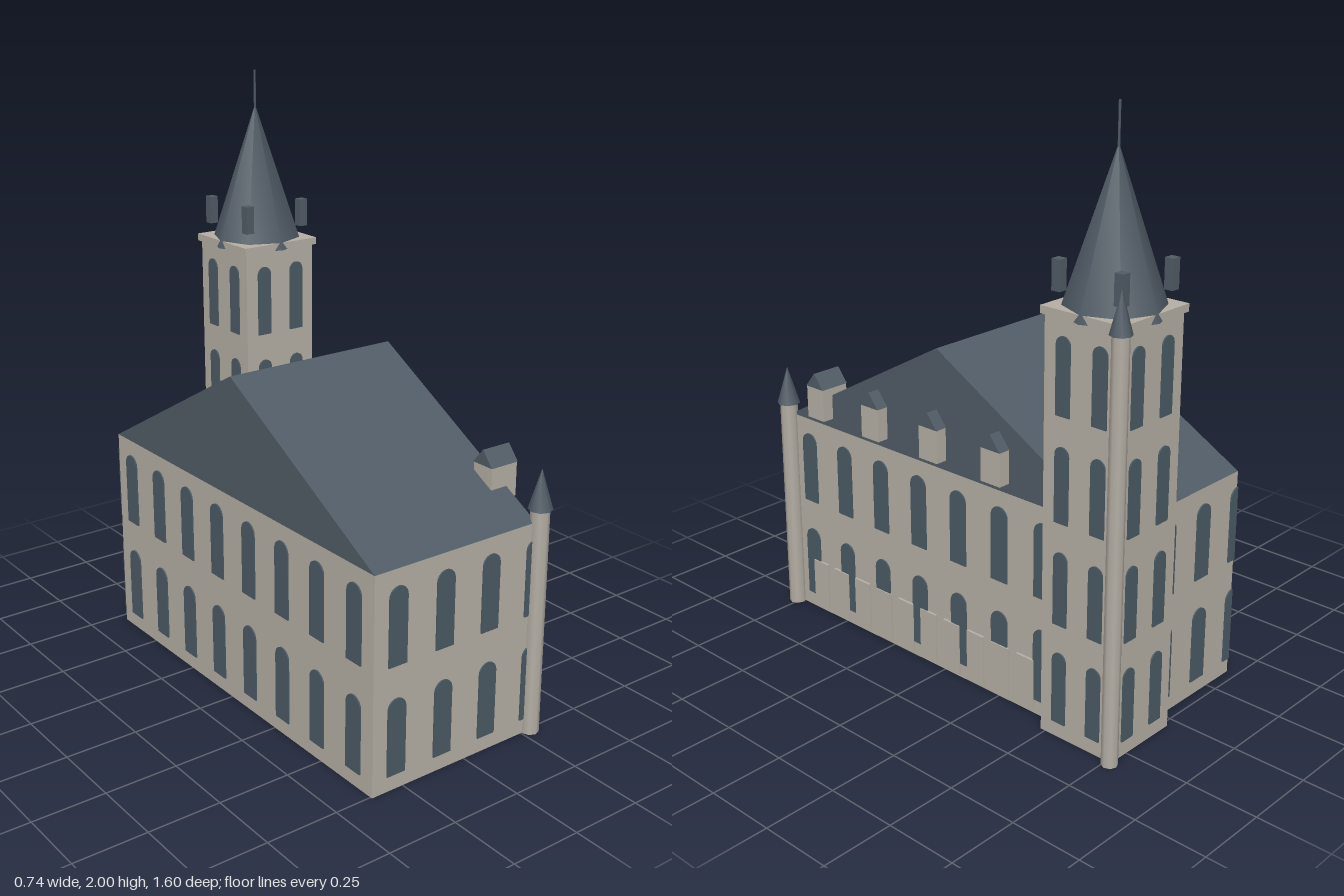
import * as THREE from 'three';

const stone = new THREE.MeshStandardMaterial({ color: 0xb4aea4 }); stone.name = 'stone';
const slate = new THREE.MeshStandardMaterial({ color: 0x505b65 }); slate.name = 'slate';
const glass = new THREE.MeshStandardMaterial({ color: 0x4b5a64 }); glass.name = 'windowGlass';

const BODY = { x0: -0.37, x1: 0.272, z0: -0.713, z1: 0.757, h: 0.74, ridge: 1.15 };
const TOWER = { x: 0.183, z: -0.625, half: 0.143, h: 1.385 };

function add(parent, name, geometry, material, x = 0, y = 0, z = 0) {
  const mesh = new THREE.Mesh(geometry, material);
  mesh.name = name;
  mesh.position.set(x, y, z);
  parent.add(mesh);
  return mesh;
}

// box given by its limits on each axis
function block(parent, name, material, [x0, x1], [y0, y1], [z0, z1]) {
  return add(parent, name, new THREE.BoxGeometry(x1 - x0, y1 - y0, z1 - z0), material,
    (x0 + x1) / 2, (y0 + y1) / 2, (z0 + z1) / 2);
}

// gable prism with its ridge along x
function gable(parent, name, material, [x0, x1], [y0, y1], [z0, z1]) {
  const s = new THREE.Shape();
  s.moveTo(-z1, y0);
  s.lineTo(-z0, y0);
  s.lineTo(-(z0 + z1) / 2, y1);
  s.closePath();
  const g = new THREE.ExtrudeGeometry(s, { depth: x1 - x0, bevelEnabled: false });
  g.rotateY(Math.PI / 2);
  return add(parent, name, g, material, x0);
}

// round-headed pane, optionally cut off at a distance right of its middle
function archPane(w, h, cut = w / 2) {
  const r = w / 2, s = new THREE.Shape();
  const end = Math.acos(Math.max(-1, Math.min(1, cut / r)));
  s.moveTo(-r, 0);
  s.lineTo(Math.min(cut, r), 0);
  for (let i = 0; i <= 10; i++) {
    const a = end + (Math.PI - end) * i / 10;
    s.lineTo(r * Math.cos(a), h - r + r * Math.sin(a));
  }
  s.closePath();
  return new THREE.ExtrudeGeometry(s, { depth: 0.006, bevelEnabled: false });
}

// rows of windows on one wall, laid out from its left end as seen from outside
function windowWall(parent, name, x, z, angle, length, o) {
  const wall = new THREE.Group();
  wall.name = name;
  wall.position.set(x, 0, z);
  wall.rotation.y = angle;
  for (const y of o.rows) {
    for (let i = 0; i < o.count; i++) {
      const u = o.start + i * o.step;
      add(wall, 'archedWindow', archPane(o.w, o.h, Math.min(o.w / 2, length - u)), glass, u, y, -0.001);
    }
  }
  parent.add(wall);
}

// slim eight-sided turret with a pointed cap
function turret(parent, name, x, z, r, h, capR, capH) {
  const g = new THREE.Group();
  g.name = name;
  g.position.set(x, 0, z);
  add(g, 'turretShaft', new THREE.CylinderGeometry(r, r, h, 8), stone, 0, h / 2);
  add(g, 'turretCap', new THREE.ConeGeometry(capR, capH, 8), slate, 0, h + capH / 2);
  parent.add(g);
}

export function createModel() {
  const model = new THREE.Group();
  model.name = 'townHall';
  const B = BODY, T = TOWER, L = B.z1 - B.z0, W = B.x1 - B.x0;

  // main hall and roof
  block(model, 'hallWalls', stone, [B.x0, B.x1], [0, B.h], [B.z0, B.z1]);
  gable(model, 'hallRoof', slate, [B.x0, B.x1], [B.h, B.ridge], [B.z0, B.z1]);

  // hall windows on all four walls
  const hall = { rows: [0.053, 0.424], start: 0.09, step: 0.184, w: 0.07, h: 0.261 };
  windowWall(model, 'frontWindows', B.x0, B.z1, 0, W, { ...hall, count: 4 });
  windowWall(model, 'rightWindows', B.x1, B.z1, Math.PI / 2, L, { ...hall, count: 8 });
  windowWall(model, 'backWindows', B.x1, B.z0, Math.PI, W, { ...hall, count: 4 });
  windowWall(model, 'leftWindows', B.x0, B.z0, -Math.PI / 2, L, { ...hall, count: 8 });

  // row of stone panels along the base
  for (let i = 0; i < 11; i++) {
    const z = 0.626 - i * 0.1106;
    block(model, 'arcadePanel', stone, [0.26, 0.281], [0.015, 0.195], [z - 0.037, z + 0.037]);
  }

  // dormers
  for (let i = 0; i < 4; i++) {
    const z = 0.578 - i * 0.2765, dormer = new THREE.Group();
    dormer.name = 'dormer';
    block(dormer, 'dormerWalls', stone, [0.207, 0.314], [0.775, 0.89], [z - 0.041, z + 0.041]);
    gable(dormer, 'dormerRoof', slate, [0.205, 0.316], [0.89, 0.942], [z - 0.043, z + 0.043]);
    model.add(dormer);
  }

  // corner turret of the hall
  turret(model, 'hallTurret', 0.285, 0.76, 0.031, 0.783, 0.04, 0.135);

  // tower
  const tower = new THREE.Group();
  tower.name = 'tower';
  tower.position.set(T.x, 0, T.z);
  model.add(tower);
  const k = T.half;
  block(tower, 'towerWalls', stone, [-k, k], [0, T.h], [-k, k]);
  block(tower, 'towerCornice', stone, [-0.153, 0.153], [T.h, 1.41], [-0.153, 0.153]);
  const bays = { rows: [0, 1, 2, 3].map(i => 0.053 + i * 0.3435), start: k - 0.069, step: 0.138, count: 2, w: 0.054, h: 0.248 };
  for (let i = 0; i < 4; i++) {
    const a = i * Math.PI / 2, c = Math.cos(a), s = Math.sin(a);
    windowWall(tower, 'towerWindows', -k * c + k * s, k * s + k * c, a, 2 * k, bays);
  }

  // spire, finial and the four corner pinnacles
  add(tower, 'spire', new THREE.ConeGeometry(0.164, 0.495, 8), slate, 0, T.h + 0.2475);
  add(tower, 'finial', new THREE.CylinderGeometry(0.004, 0.004, 0.14, 6), slate, 0, 1.93);
  for (const sx of [-1, 1]) for (const sz of [-1, 1]) {
    add(tower, 'pinnacle', new THREE.BoxGeometry(0.031, 0.096, 0.031), slate, sx * 0.115, 1.501, sz * 0.115);
  }

  // stair turret on the tower corner
  turret(model, 'towerTurret', 0.332, -0.768, 0.027, 1.383, 0.035, 0.133);

  return model;
}
